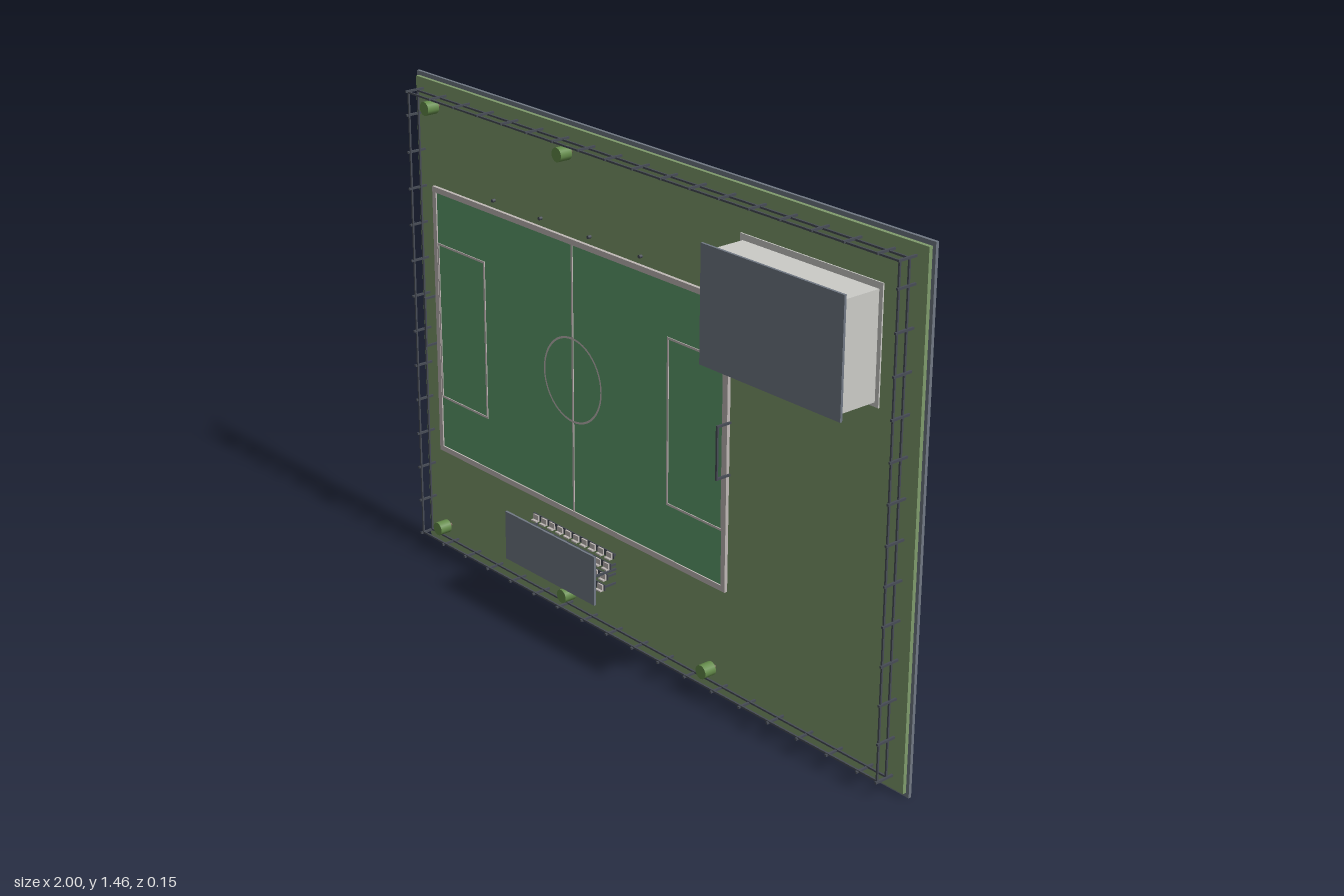
import * as THREE from 'three';

const mat = (name, color) => {
  const m = new THREE.MeshStandardMaterial({ color });
  m.name = name;
  return m;
};

export function createModel() {
  const root = new THREE.Group();
  root.name = 'sportsGround';
  const slate = mat('slate', 0x707883), grass = mat('grass', 0x7f9b6c), turf = mat('turf', 0x5f9f6e),
    chalk = mat('chalk', 0xbfb9b6), wall = mat('wall', 0xcbcbc7), metal = mat('metal', 0x474c55),
    leaf = mat('leaf', 0x648b4a), bark = mat('bark', 0x6b5a48);

  // Box given by its minimum and maximum corners
  const box = (name, material, x0, x1, y0, y1, z0, z1, parent = root) => {
    const m = new THREE.Mesh(new THREE.BoxGeometry(x1 - x0, y1 - y0, z1 - z0), material);
    m.position.set((x0 + x1) / 2, (y0 + y1) / 2, (z0 + z1) / 2);
    m.name = name;
    parent.add(m);
    return m;
  };
  const group = (name) => {
    const g = new THREE.Group();
    g.name = name;
    root.add(g);
    return g;
  };
  // Rectangular outline of width w, lying inside the given rectangle
  const frame = (name, material, x0, x1, y0, y1, z0, z1, w, parent) => {
    box(name, material, x0, x1, y0, y0 + w, z0, z1, parent);
    box(name, material, x0, x1, y1 - w, y1, z0, z1, parent);
    box(name, material, x0, x0 + w, y0 + w, y1 - w, z0, z1, parent);
    box(name, material, x1 - w, x1, y0 + w, y1 - w, z0, z1, parent);
  };
  // Cylinder standing out from the ground along z
  const post = (name, material, x, y, z0, z1, r, sides, parent) => {
    const m = new THREE.Mesh(new THREE.CylinderGeometry(r, r, z1 - z0, sides).rotateX(Math.PI / 2), material);
    m.position.set(x, y, (z0 + z1) / 2);
    m.name = name;
    parent.add(m);
  };
  const ground = -0.055;

  // Ground slabs
  box('baseSlab', slate, -1, 1, 0, 1.46, -0.075, -0.066);
  box('grassSlab', grass, -0.99, 0.99, 0.012, 1.448, -0.066, ground);

  // Pitch with kerb and markings
  const pitch = group('pitch');
  box('turf', turf, -0.9, 0.325, 0.34, 1.13, ground, -0.049, pitch);
  frame('kerb', chalk, -0.915, 0.336, 0.325, 1.142, ground, -0.045, 0.016, pitch);
  const l0 = -0.049, l1 = -0.0465, cx = -0.29, cy = 0.735;
  box('centreLine', chalk, cx - 0.003, cx + 0.003, 0.34, 1.13, l0, l1, pitch);
  frame('leftBox', chalk, -0.9, -0.679, 0.497, 0.975, l0, l1, 0.006, pitch);
  frame('rightBox', chalk, 0.1, 0.321, 0.497, 0.975, l0, l1, 0.006, pitch);
  const ring = new THREE.Mesh(new THREE.RingGeometry(0.119, 0.125, 48), chalk);
  ring.position.set(cx, cy, l1);
  ring.name = 'centreCircle';
  pitch.add(ring);

  // Goals
  for (const x of [-0.918, 0.338]) {
    const goal = group('goal');
    for (const y of [0.662, 0.808]) box('goalPost', metal, x - 0.003, x + 0.003, y - 0.003, y + 0.003, ground, -0.007, goal);
    box('crossbar', metal, x - 0.003, x + 0.003, 0.659, 0.811, -0.012, -0.007, goal);
  }

  // Perimeter fence
  const fence = group('fence');
  const [fx0, fx1, fy0, fy1] = [-0.957, 0.952, 0.05, 1.418];
  for (const z of [-0.037, -0.005]) frame('rail', metal, fx0, fx1, fy0, fy1, z, z + 0.005, 0.005, fence);
  const fencePost = (x, y) => box('fencePost', metal, x - 0.003, x + 0.003, y - 0.003, y + 0.003, ground, 0.006, fence);
  for (let x = fx0; x < fx1 + 0.01; x += 0.1083) for (const y of [fy0, fy1]) fencePost(x, y);
  for (let y = fy0 + 0.108; y < fy1 - 0.02; y += 0.1083) for (const x of [fx0, fx1]) fencePost(x, y);
  fencePost(fx1, fy0);
  fencePost(fx1, fy1);

  // Clubhouse
  const house = group('clubhouse');
  box('foundation', wall, 0.365, 0.855, 1.01, 1.325, ground, -0.051, house);
  box('walls', wall, 0.375, 0.843, 1.022, 1.308, -0.051, 0.07, house);
  box('roof', slate, 0.362, 0.856, 1.008, 1.326, 0.07, 0.077, house);
  box('door', metal, 0.58, 0.64, 1.015, 1.022, -0.051, 0.033, house);

  // Covered stand: stepped rows of seats below a flat canopy
  const stand = group('stand');
  box('canopy', slate, -0.488, -0.094, 0.15, 0.298, 0.036, 0.043, stand);
  for (const x of [-0.465, -0.118]) box('canopyPost', metal, x - 0.003, x + 0.003, 0.22, 0.226, ground, 0.036, stand);
  for (let row = 0; row < 4; row++) {
    const y = 0.18 + row * 0.029, z = -0.008 - row * 0.011;
    box('bench', metal, -0.468, -0.112, y - 0.009, y + 0.009, z - 0.005, z - 0.002, stand);
    for (let i = 0; i < 10; i++) {
      const x = -0.452 + i * 0.036;
      box('seat', chalk, x - 0.011, x + 0.011, y - 0.008, y + 0.008, z - 0.002, z + 0.003, stand);
      box('seatBack', chalk, x - 0.011, x + 0.011, y - 0.011, y - 0.007, z - 0.002, z + 0.011, stand);
    }
  }
  for (const x of [-0.465, -0.118]) {
    for (let row = 0; row < 4; row++) {
      const y = 0.18 + row * 0.029;
      box('standLeg', metal, x - 0.002, x + 0.002, y - 0.003, y + 0.003, ground, -0.013 - row * 0.011, stand);
    }
  }

  // Clipped trees
  for (const [x, y] of [[-0.885, 1.382], [-0.297, 1.382], [-0.885, 0.086], [-0.297, 0.086], [0.292, 0.086]]) {
    const tree = group('tree');
    post('trunk', bark, x, y, ground, -0.04, 0.006, 8, tree);
    post('crown', leaf, x, y, -0.042, -0.004, 0.02, 14, tree);
  }

  // Marker bollards beside the pitch
  const bollards = group('bollards');
  for (let i = 0; i < 4; i++) post('bollard', metal, -0.635 + i * 0.208, 1.165, ground, -0.045, 0.005, 8, bollards);

  return root;
}
